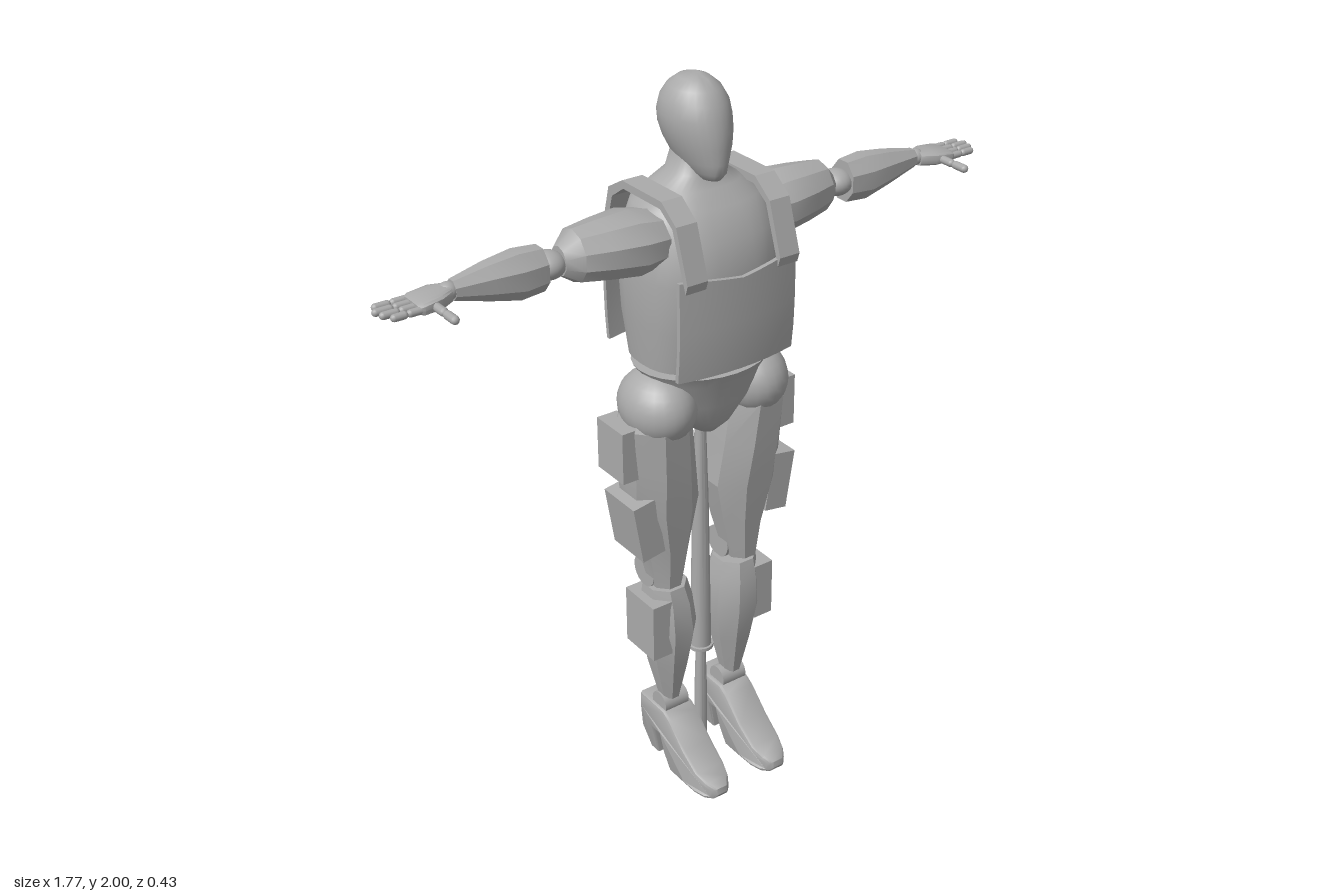
import * as THREE from 'three';
import { toCreasedNormals } from 'three/addons/utils/BufferGeometryUtils.js';

const grey = new THREE.MeshStandardMaterial({ color: 0xaaaaaa });
grey.name = 'grey';

// Lofted solid through elliptical sections [t, c1, c2, r1, r2], along y or along x.
function loft(sections, sides, { axis = 'y', crease = 0.6, power = 1, turn = 0 } = {}) {
  const pos = [], index = [];
  const put = (t, a, b) => (axis === 'y' ? pos.push(a, t, b) : pos.push(t, a, b));
  const tri = (a, b, c) => (axis === 'y' ? index.push(a, b, c) : index.push(a, c, b));
  const bend = v => Math.sign(v) * Math.abs(v) ** power;
  for (const [t, c1, c2, r1, r2] of sections) {
    for (let j = 0; j < sides; j++) {
      const a = ((j + turn) / sides) * Math.PI * 2;
      put(t, c1 + r1 * bend(Math.cos(a)), c2 + r2 * bend(Math.sin(a)));
    }
  }
  const last = sections.length - 1;
  for (let i = 0; i < last; i++) {
    for (let j = 0; j < sides; j++) {
      const k = (j + 1) % sides, a = i * sides + j, b = i * sides + k;
      tri(a, a + sides, b);
      tri(b, a + sides, b + sides);
    }
  }
  // end caps
  const base = pos.length / 3;
  put(...sections[0].slice(0, 3));
  put(...sections[last].slice(0, 3));
  for (let j = 0; j < sides; j++) {
    const k = (j + 1) % sides;
    tri(base, j, k);
    tri(base + 1, last * sides + k, last * sides + j);
  }
  const g = new THREE.BufferGeometry();
  g.setAttribute('position', new THREE.Float32BufferAttribute(pos, 3));
  g.setIndex(index);
  return toCreasedNormals(g, crease);
}

// Outline in (z, y) extruded along x, centred on x = 0.
function sideProfile(points, width, bevel = 0) {
  const shape = new THREE.Shape(points.map(p => new THREE.Vector2(...p)));
  const depth = width - bevel * 2;
  const g = new THREE.ExtrudeGeometry(shape, {
    depth, bevelEnabled: bevel > 0, bevelSize: bevel, bevelOffset: -bevel, bevelThickness: bevel, bevelSegments: 2,
  });
  return g.translate(0, 0, -depth / 2).rotateY(-Math.PI / 2);
}

// Mirrored copy across x = 0 with the corner order restored.
function mirrored(geometry) {
  const g = geometry.index ? geometry.toNonIndexed() : geometry.clone();
  g.scale(-1, 1, 1);
  for (const { array, itemSize: n } of Object.values(g.attributes)) {
    for (let i = 0; i < array.length; i += 3 * n) {
      for (let k = 0; k < n; k++) {
        [array[i + n + k], array[i + 2 * n + k]] = [array[i + 2 * n + k], array[i + n + k]];
      }
    }
  }
  return g;
}

const box = (w, h, d, x, y, z, tilt = 0) => new THREE.BoxGeometry(w, h, d).rotateZ(tilt).translate(x, y, z);
const ball = (rx, ry, rz, x, y, z) => new THREE.SphereGeometry(1, 24, 16).scale(rx, ry, rz).translate(x, y, z);
const rodX = (r, len, x, y, z) => new THREE.CylinderGeometry(r, r, len, 20).rotateZ(Math.PI / 2).translate(x, y, z);

export function createModel() {
  const model = new THREE.Group();
  model.name = 'figure';
  const add = (name, geometry) => {
    const mesh = new THREE.Mesh(geometry, grey);
    mesh.name = name;
    model.add(mesh);
  };
  const pair = (name, geometry) => {
    add(name + 'Left', geometry);
    add(name + 'Right', mirrored(geometry));
  };

  // Head, torso and pelvis
  add('head', loft([
    [1.757, 0, 0.01, 0.025, 0.045], [1.775, 0, -0.012, 0.04, 0.083], [1.8, 0, -0.022, 0.054, 0.093],
    [1.84, 0, -0.034, 0.07, 0.107], [1.875, 0, -0.041, 0.08, 0.11], [1.905, 0, -0.045, 0.082, 0.107],
    [1.94, 0, -0.045, 0.077, 0.095], [1.97, 0, -0.045, 0.061, 0.073], [1.99, 0, -0.045, 0.037, 0.045],
    [2, 0, -0.045, 0.01, 0.012],
  ], 28, { crease: 1.2 }));
  add('torso', loft([
    [1.287, 0, -0.03, 0.178, 0.145], [1.4, 0, -0.03, 0.19, 0.165], [1.53, 0, -0.028, 0.197, 0.172],
    [1.63, 0, -0.03, 0.188, 0.155], [1.7, 0, -0.04, 0.165, 0.12], [1.735, 0, -0.045, 0.115, 0.088],
    [1.765, 0, -0.045, 0.07, 0.064], [1.81, 0, -0.045, 0.055, 0.055],
  ], 32, { power: 0.8, crease: 0.9 }));
  add('pelvis', loft([
    [1.06, 0, -0.02, 0.03, 0.05], [1.1, 0, -0.02, 0.07, 0.09], [1.17, 0, -0.02, 0.135, 0.118],
    [1.24, 0, -0.02, 0.165, 0.137], [1.274, 0, -0.02, 0.188, 0.155],
  ], 28, { crease: 0.9 }));
  add('waistPeg', box(0.06, 0.04, 0.035, 0.08, 1.28, -0.022));

  // Chest and back plates, gently bowed
  for (const [name, side, z] of [['chestPlate', 1, 0.153], ['backPlate', -1, -0.21]]) {
    const g = new THREE.BoxGeometry(0.35, 0.27, 0.012, 8, 4, 1);
    const p = g.attributes.position;
    for (let i = 0; i < p.count; i++) {
      const x = p.getX(i), y = p.getY(i);
      const dip = y > 0.13 ? -0.02 * (1 - Math.min(1, Math.abs(x) / 0.15)) : 0;
      p.setXYZ(i, x, y + 1.43 + dip, p.getZ(i) + z - side * (0.7 * x * x + 0.5 * Math.max(0, -y) ** 2));
    }
    add(name, toCreasedNormals(g, 0.6));
  }
  pair('shoulderStrap', sideProfile([
    [0.152, 1.54], [0.16, 1.565], [0.115, 1.7], [0.055, 1.745], [-0.11, 1.745], [-0.17, 1.71], [-0.21, 1.565],
    [-0.2, 1.54], [-0.155, 1.69], [-0.105, 1.725], [0.05, 1.725], [0.1, 1.69],
  ], 0.06).translate(0.138, 0, 0));

  // Arms
  pair('upperArm', loft([
    [0.15, 1.63, -0.015, 0.07, 0.09], [0.22, 1.633, -0.013, 0.083, 0.1], [0.3, 1.635, -0.015, 0.076, 0.085],
    [0.37, 1.635, -0.02, 0.068, 0.065], [0.405, 1.628, -0.025, 0.038, 0.035],
  ], 10, { axis: 'x', crease: 0.5 }));
  pair('elbow', ball(0.045, 0.035, 0.045, 0.434, 1.625, -0.028));
  pair('forearm', loft([
    [0.455, 1.625, -0.025, 0.058, 0.046], [0.52, 1.625, -0.026, 0.063, 0.055],
    [0.6, 1.63, -0.025, 0.048, 0.043], [0.69, 1.635, -0.022, 0.026, 0.024],
  ], 8, { axis: 'x', crease: 0.3, turn: 0.5 }));
  pair('wrist', ball(0.025, 0.022, 0.024, 0.7, 1.635, -0.022));
  pair('palm', loft([
    [0.7, 1.633, -0.02, 0.019, 0.025], [0.735, 1.632, -0.017, 0.02, 0.044],
    [0.785, 1.63, -0.013, 0.017, 0.047], [0.797, 1.63, -0.013, 0.011, 0.042],
  ], 16, { axis: 'x', power: 0.6 }));
  [0.865, 0.88, 0.886, 0.875].forEach((tip, i) => {
    const z = 0.022 - i * 0.024, len = (tip - 0.785) / 2;
    for (const k of [0, 1]) {
      pair('finger' + (i + 1) + 'Joint' + (k + 1), new THREE.CapsuleGeometry(0.0095, len - 0.016, 4, 10)
        .rotateZ(Math.PI / 2).translate(0.785 + len * (k + 0.5), 1.63, z));
    }
  });
  for (const k of [0, 1]) {
    pair('thumbJoint' + (k + 1), new THREE.CapsuleGeometry(0.011, 0.032, 4, 10)
      .rotateX(Math.PI / 2).translate(0.755, 1.63, 0.043 + k * 0.05));
  }

  // Legs
  pair('hip', ball(0.095, 0.1, 0.118, 0.145, 1.17, -0.008));
  pair('thigh', loft([
    [0.625, 0.125, -0.01, 0.046, 0.05], [0.74, 0.122, -0.022, 0.07, 0.078], [0.87, 0.13, -0.025, 0.107, 0.098],
    [1.0, 0.14, -0.02, 0.1, 0.108], [1.13, 0.15, -0.015, 0.095, 0.112], [1.19, 0.15, -0.015, 0.07, 0.09],
  ], 8, { crease: 0.3, turn: 0.5 }));
  pair('knee', rodX(0.046, 0.1, 0.122, 0.655, -0.042));
  pair('shin', loft([
    [0.225, 0.106, -0.027, 0.028, 0.034], [0.35, 0.107, -0.026, 0.058, 0.062], [0.47, 0.108, -0.026, 0.078, 0.086],
    [0.56, 0.112, -0.026, 0.07, 0.078], [0.612, 0.116, -0.027, 0.06, 0.064],
  ], 8, { crease: 0.3, turn: 0.5 }));
  pair('ankle', rodX(0.033, 0.078, 0.1, 0.203, -0.028));
  pair('hipPouch', box(0.06, 0.145, 0.115, 0.244, 1.065, -0.032));
  pair('thighPouch', box(0.07, 0.17, 0.135, 0.213, 0.843, -0.018, -0.16));
  pair('shinPouch', box(0.06, 0.17, 0.13, 0.17, 0.5, -0.025));

  // Heeled shoes, rounded at the toe and narrowed at the heel
  const shoe = sideProfile([
    [0.0, 0.192], [-0.112, 0.192], [-0.115, 0.15], [-0.105, 0.08], [-0.09, 0], [-0.055, 0], [-0.05, 0.098],
    [-0.02, 0.098], [0, 0.045], [0.03, 0], [0.1, 0], [0.15, 0], [0.185, 0], [0.206, 0.006], [0.216, 0.022],
    [0.213, 0.04], [0.19, 0.054], [0.155, 0.07], [0.095, 0.112], [0.03, 0.174],
  ], 0.102, 0.01);
  const p = shoe.attributes.position;
  for (let i = 0; i < p.count; i++) {
    const y = p.getY(i), z = p.getZ(i);
    const toe = Math.sqrt(1 - Math.min(0.85, Math.max(0, (z - 0.13) / 0.09) ** 2));
    p.setX(i, p.getX(i) * (z < -0.04 && y < 0.05 ? 0.6 : toe));
  }
  pair('shoe', toCreasedNormals(shoe, 0.6).translate(0.098, 0, 0));

  // Central support pole
  add('pole', loft([
    [0, 0, -0.022, 0.018, 0.018], [0.2, 0, -0.022, 0.018, 0.018], [0.345, 0, -0.022, 0.014, 0.014],
    [0.346, 0, -0.022, 0.036, 0.036], [0.356, 0, -0.022, 0.036, 0.036], [0.357, 0, -0.022, 0.03, 0.03],
    [0.8, 0, -0.022, 0.023, 0.023], [1.1, 0, -0.022, 0.014, 0.014],
  ], 16));
  return model;
}
